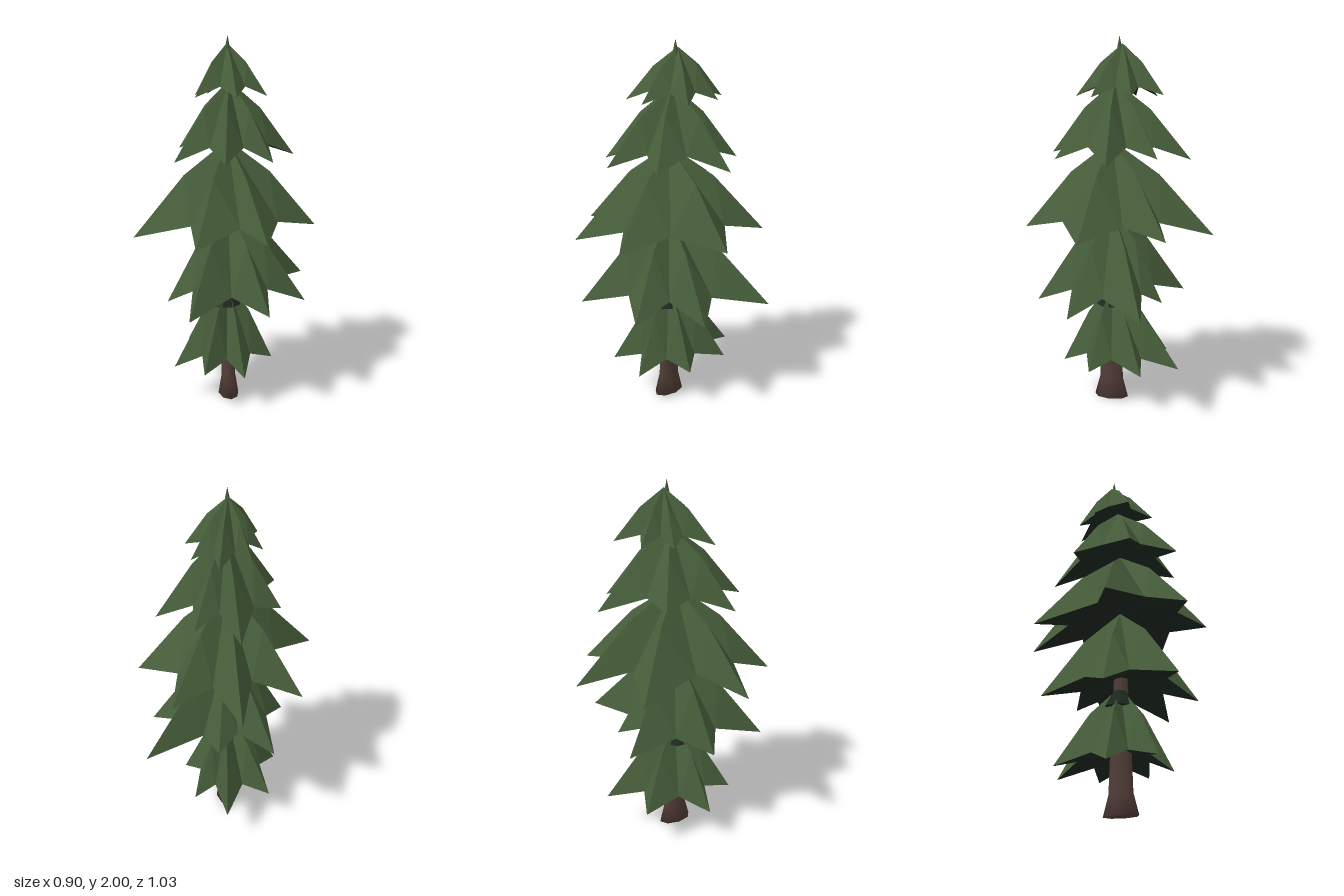
import * as THREE from 'three';

const needle = new THREE.MeshStandardMaterial({ color: 0x465d3a });
needle.name = 'needle green';
const shade = new THREE.MeshStandardMaterial({ color: 0x1e2820 });
shade.name = 'underside dark green';
const bark = new THREE.MeshStandardMaterial({ color: 0x503c36 });
bark.name = 'bark brown';

// Each tier: apex, height of the valleys between tips, drooping tips [x, y, z],
// and optionally the valley positions [x, z] that follow each tip
const TIERS = [
  { name: 'lowestBranches', apex: [0, 0.67, 0], valleyY: 0.28, tips: [
    [-0.105, 0.23, -0.39], [0.11, 0.23, -0.3], [0.245, 0.23, -0.05], [0.165, 0.205, 0.22],
    [-0.03, 0.24, 0.315], [-0.25, 0.205, 0.19], [-0.295, 0.23, -0.165]] },
  { name: 'lowBranches', apex: [0, 1.1, 0], valleyY: 0.67, tips: [
    [-0.33, 0.61, -0.25], [-0.04, 0.61, -0.32], [0.32, 0.62, -0.47], [0.425, 0.58, -0.07],
    [0.31, 0.59, 0.27], [-0.05, 0.6, 0.485], [-0.28, 0.59, 0.2]] },
  { name: 'middleBranches', apex: [0, 1.46, 0], valleyY: 1.05, tips: [
    [-0.45, 0.96, -0.17], [-0.215, 0.98, -0.52], [0.155, 1.0, -0.49], [0.45, 0.99, -0.17],
    [0.315, 0.99, 0.35], [0, 0.98, 0.515], [-0.4, 0.98, 0.355]],
    valleys: [[-0.19, -0.22], [-0.01, -0.32], [0.2, -0.25], [0.3, 0.08],
      [0.155, 0.29], [-0.1, 0.31], [-0.24, 0.1]] },
  { name: 'highBranches', apex: [0, 1.77, -0.02], valleyY: 1.44, tips: [
    [-0.173, 1.37, -0.395], [0.066, 1.39, -0.36], [0.31, 1.365, -0.233], [0.286, 1.37, 0.146],
    [0.1, 1.38, 0.355], [-0.19, 1.37, 0.3], [-0.295, 1.4, -0.05]] },
  { name: 'topBranches', apex: [-0.02, 1.96, -0.055], valleyY: 1.74, tips: [
    [-0.17, 1.69, -0.17], [-0.045, 1.7, -0.31], [0.115, 1.7, -0.23], [0.205, 1.69, -0.04],
    [0.1, 1.69, 0.17], [-0.11, 1.69, 0.2], [-0.185, 1.69, -0.01]] },
];

function facets(triangles, material, name) {
  const geometry = new THREE.BufferGeometry().setFromPoints(triangles.flat());
  geometry.computeVertexNormals();
  const mesh = new THREE.Mesh(geometry, material);
  mesh.name = name;
  return mesh;
}

// Star-shaped skirt: convex ridges to the tips, straight valleys between them
function makeTier({ name, apex, valleyY, tips, valleys }) {
  const top = new THREE.Vector3(...apex);
  const points = tips.map(([x, y, z]) => {
    const tip = new THREE.Vector3(x, y, z);
    const shoulder = top.clone().lerp(tip, 0.47);
    shoulder.y = top.y - 0.36 * (top.y - y);
    return { tip, shoulder, angle: Math.atan2(z - top.z, x - top.x), radius: Math.hypot(x - top.x, z - top.z) };
  });

  const upper = [], lower = [];
  const hollow = new THREE.Vector3(top.x, valleyY + 0.05, top.z);
  points.forEach((p, i) => {
    const next = points[(i + 1) % points.length];
    const turn = (next.angle - p.angle + 2 * Math.PI) % (2 * Math.PI);
    const a = p.angle + turn / 2;
    const r = 0.61 * (p.radius + next.radius) / 2;
    const [vx, vz] = valleys ? valleys[i] : [top.x + r * Math.cos(a), top.z + r * Math.sin(a)];
    const valley = new THREE.Vector3(vx, valleyY, vz);
    upper.push([top, valley, p.shoulder], [p.shoulder, valley, p.tip],
      [top, next.shoulder, valley], [next.shoulder, next.tip, valley]);
    lower.push([hollow, p.tip, valley], [hollow, valley, next.tip]);
  });

  const tier = new THREE.Group();
  tier.name = name;
  tier.add(facets(upper, needle, name + 'Needles'), facets(lower, shade, name + 'Underside'));
  return tier;
}

export function createModel() {
  const tree = new THREE.Group();
  tree.name = 'pineTree';

  // Flared oval trunk ending inside the second tier
  const profile = [[0, 0], [0.078, 0], [0.054, 0.11], [0.049, 0.28], [0.035, 0.62], [0.03, 0.78]]
    .map(([r, y]) => new THREE.Vector2(r, y));
  const trunk = new THREE.Mesh(new THREE.LatheGeometry(profile, 8), bark);
  trunk.scale.set(1.24, 1, 0.74);
  trunk.rotation.y = -1.1;
  trunk.position.x = 0.005;
  trunk.name = 'trunk';
  tree.add(trunk);

  TIERS.forEach((t) => tree.add(makeTier(t)));

  // Dark collar showing in the valleys at the top of the lowest tier
  const collar = new THREE.Mesh(new THREE.CylinderGeometry(0.035, 0.088, 0.09, 8), shade);
  collar.position.set(-0.01, 0.592, 0.01);
  collar.name = 'darkCollar';
  tree.add(collar);

  // Small leader shoot at the very top
  const leader = new THREE.Mesh(new THREE.ConeGeometry(0.022, 0.1, 5), needle);
  leader.position.set(-0.012, 1.95, -0.04);
  leader.name = 'leaderShoot';
  tree.add(leader);

  return tree;
}
